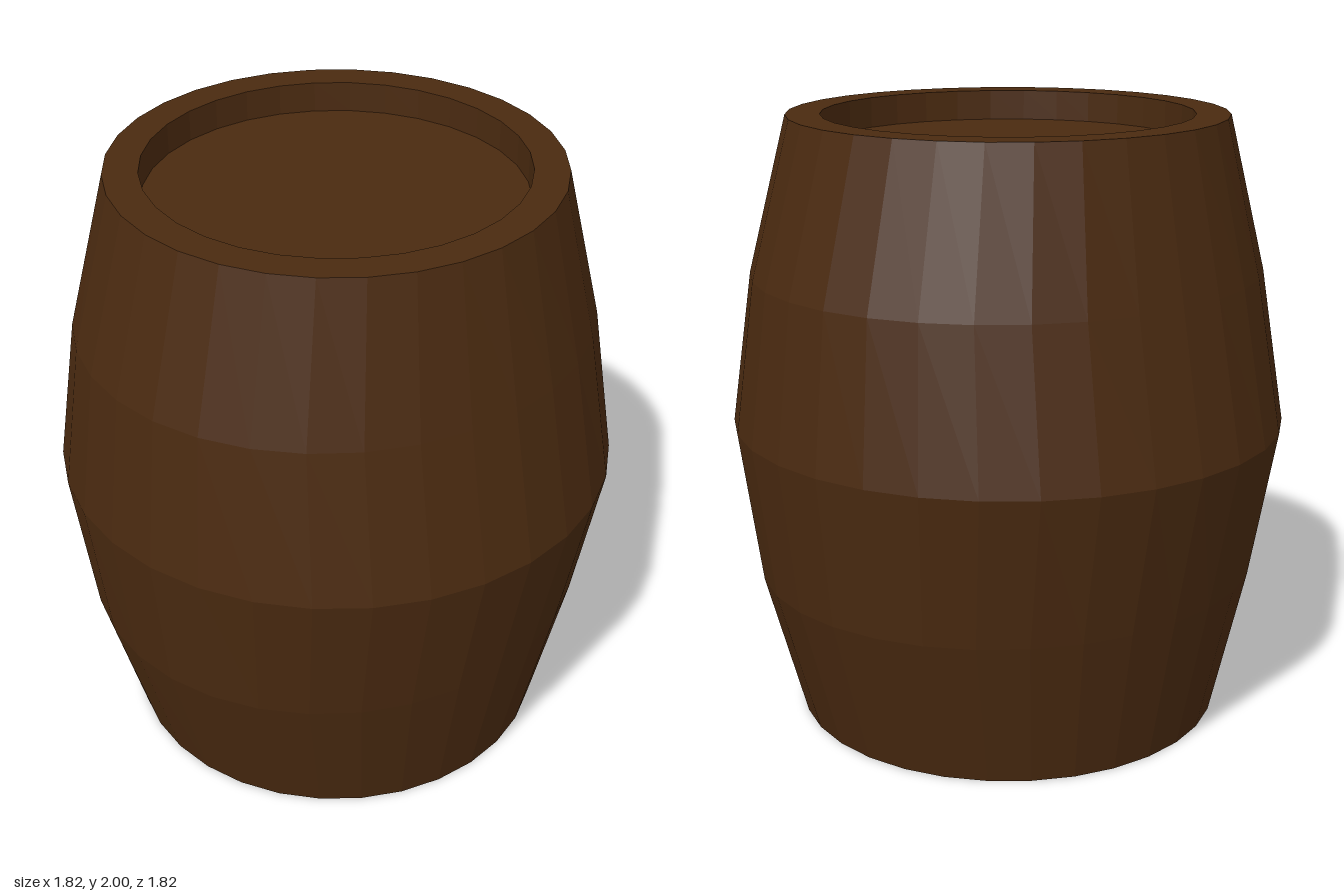
import * as THREE from 'three';

const SEGMENTS = 32;

export function createModel() {
  const barrel = new THREE.Group();
  barrel.name = 'barrel';
  const wood = new THREE.MeshStandardMaterial({ color: 0x4a2a10, flatShading: true });

  // Bulging wall with flat rims and the inner faces of both recesses
  const profile = [
    [0.6, 0.1], [0.6, 0], [0.71, 0], [0.85, 0.5], [0.91, 1],
    [0.85, 1.5], [0.71, 2], [0.6, 2], [0.6, 1.9],
  ].map(([r, y]) => new THREE.Vector2(r, y));
  const wall = new THREE.LatheGeometry(profile, SEGMENTS);

  // The quarter-height rings are slightly narrower from side to side
  const pos = wall.attributes.position;
  for (let i = 0; i < pos.count; i++) {
    const y = pos.getY(i);
    if (y === 0.5 || y === 1.5) pos.setX(i, pos.getX(i) * 0.81 / 0.85);
  }
  wall.computeVertexNormals();
  const staves = new THREE.Mesh(wall, wood);
  staves.name = 'staves';
  barrel.add(staves);

  // Sunken heads closing both ends
  for (const [name, y, turn] of [['topHead', 1.9, -1], ['bottomHead', 0.1, 1]]) {
    const head = new THREE.Mesh(new THREE.CircleGeometry(0.6, SEGMENTS), wood);
    head.name = name;
    head.rotation.x = turn * Math.PI / 2;
    head.position.y = y;
    barrel.add(head);
  }
  return barrel;
}
